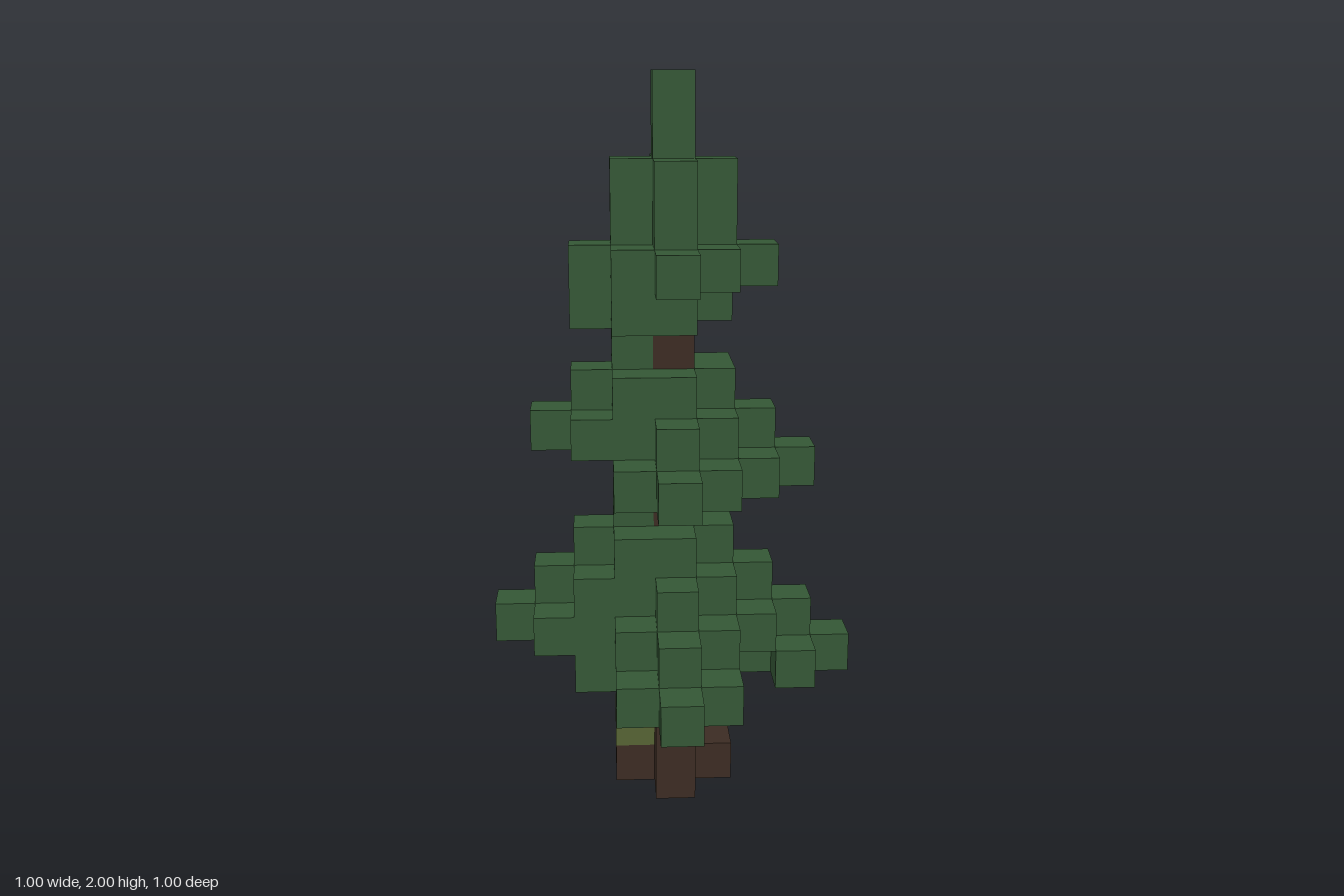
import * as THREE from 'three';
import { mergeGeometries } from 'three/addons/utils/BufferGeometryUtils.js';

const S = 2 / 18; // edge of one block

const paint = (name, color) => {
  const m = new THREE.MeshStandardMaterial({ color });
  m.name = name;
  return m;
};

// The four branch directions; the left and front ones sit one block lower
const ARMS = [
  { dx: 1, dz: 0, lift: 0 },
  { dx: 0, dz: 1, lift: 0 },
  { dx: -1, dz: 0, lift: 1 },
  { dx: 0, dz: -1, lift: 1 },
];

// Outward normals with the rotation that turns a +z plane to face that way
const SIDES = [
  [0, 0, 1, 0, 0], [0, 0, -1, 0, Math.PI],
  [1, 0, 0, 0, Math.PI / 2], [-1, 0, 0, 0, -Math.PI / 2],
  [0, 1, 0, -Math.PI / 2, 0], [0, -1, 0, Math.PI / 2, 0],
];

export function createModel() {
  const materials = {
    needles: paint('needle green', 0x355836),
    bark: paint('bark brown', 0x3c2c23),
    moss: paint('moss olive', 0x566434),
    stone: paint('stone grey', 0x858585),
  };
  const cells = new Map();

  // Earlier blocks win, so wood is placed before foliage
  const put = (part, mat, x, y, z) => {
    const key = `${x},${y},${z}`;
    if (!cells.has(key)) cells.set(key, { part, mat, x, y, z });
  };
  const column = (part, mat, x, z, y0, y1) => {
    for (let y = y0; y <= y1; y++) put(part, mat, x, y, z);
  };

  // Trunk, roots, moss and the stone under the trunk
  put('baseStone', 'stone', 0, 0, 0);
  column('trunk', 'bark', 0, 0, 1, 15);
  for (const s of [-1, 1]) {
    put('roots', 'bark', s, 0, 0);
    column('roots', 'bark', 0, s, 0, 1);
  }
  put('mossPatch', 'moss', -1, 1, 0);

  // Two lower tiers: sloping branches wrapped in needles
  const tiers = [
    { name: 'lower', reach: 3, y: 3 },
    { name: 'middle', reach: 2, y: 8 },
  ];
  const eachLog = (fn) => {
    for (const t of tiers) for (const a of ARMS) for (let k = 1; k <= t.reach; k++) {
      fn(t, a, k, t.y + a.lift + t.reach - k);
    }
  };
  eachLog((t, a, k, y) => put(t.name + 'Branches', 'bark', a.dx * k, y, a.dz * k));
  for (const a of ARMS) put('upperBranches', 'bark', a.dx, 13, a.dz);

  eachLog((t, a, k, y) => {
    const leaf = (along, up, side) => put(t.name + 'Foliage', 'needles',
      a.dx * along + a.dz * side, up, a.dz * along + a.dx * side);
    leaf(k, y, 1);
    leaf(k, y, -1);
    leaf(k, y + 1, 0);
    if (k === t.reach) leaf(k + 1, y, 0);
    else leaf(k, y - 1, 0);
  });

  // Dense clump hanging on one side of the lower tier
  column('lowerFoliage', 'needles', -2, 1, 3, 5);
  column('lowerFoliage', 'needles', -1, 1, 3, 6);

  // Upper tier and tip
  for (const a of ARMS) {
    put('upperFoliage', 'needles', a.dx * 2, 13, a.dz * 2);
    column('upperFoliage', 'needles', a.dx, a.dz, 14, 15);
  }
  for (const x of [-1, 1]) for (const z of [-1, 1]) {
    column('upperFoliage', 'needles', x, z, x === 1 && z === 1 ? 13 : 12, 13);
  }
  for (const [x, z] of [[-2, 0], [-1, 0], [0, 1], [0, -1]]) {
    put('upperFoliage', 'needles', x, 12, z);
  }
  column('treeTip', 'needles', 0, 0, 16, 17);

  // Collect only the exposed block faces of every part
  const parts = new Map();
  for (const c of cells.values()) {
    for (const [nx, ny, nz, rx, ry] of SIDES) {
      if (cells.has(`${c.x + nx},${c.y + ny},${c.z + nz}`)) continue;
      const face = new THREE.PlaneGeometry(S, S).rotateX(rx).rotateY(ry);
      face.translate((c.x + nx / 2) * S, (c.y + 0.5 + ny / 2) * S, (c.z + nz / 2) * S);
      if (!parts.has(c.part)) parts.set(c.part, { mat: c.mat, faces: [] });
      parts.get(c.part).faces.push(face);
    }
  }

  const tree = new THREE.Group();
  tree.name = 'blockPineTree';
  for (const [name, { mat, faces }] of parts) {
    const mesh = new THREE.Mesh(mergeGeometries(faces), materials[mat]);
    mesh.name = name;
    tree.add(mesh);
  }
  return tree;
}
